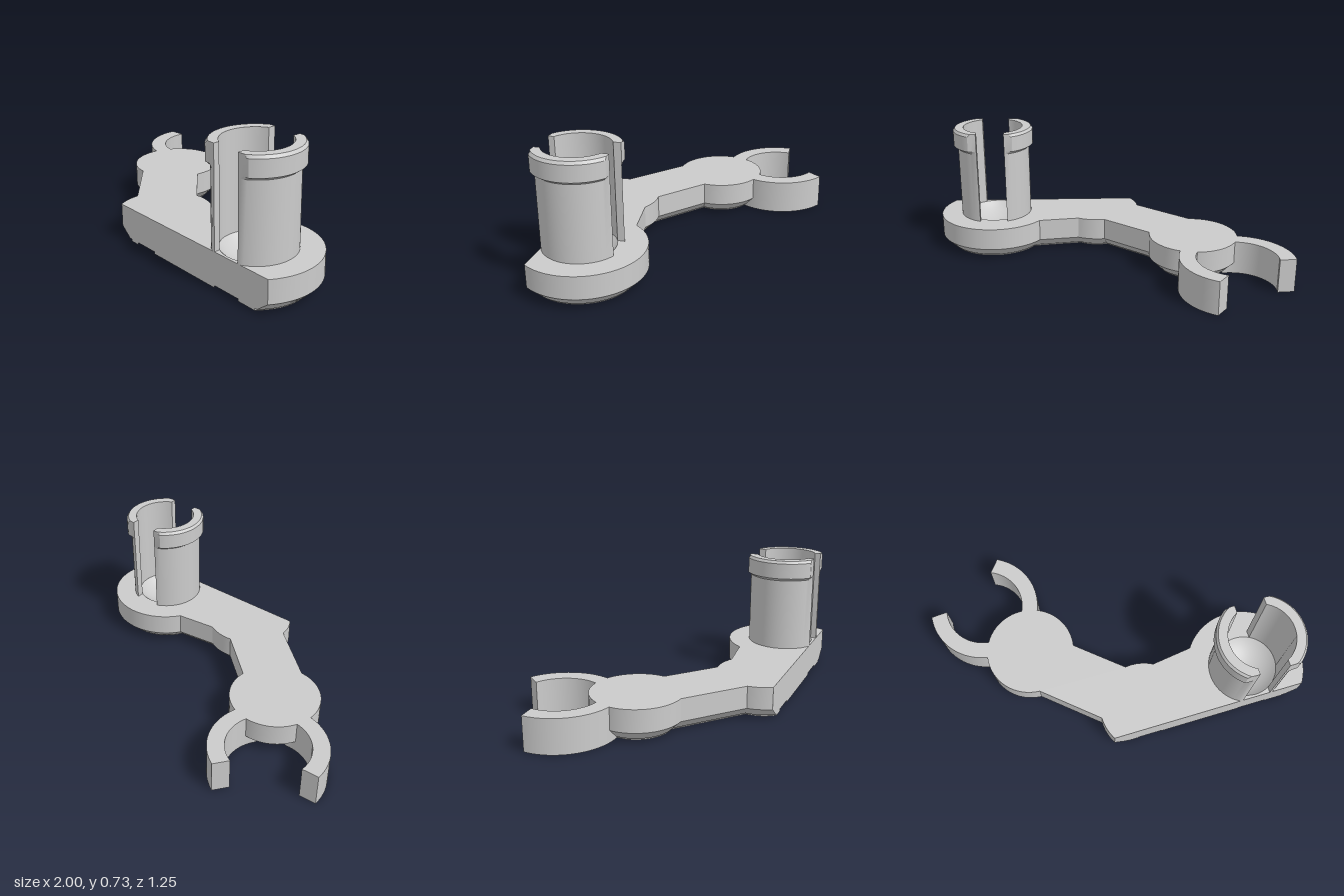
import * as THREE from 'three';
import { toCreasedNormals } from 'three/addons/utils/BufferGeometryUtils.js';

const TOP = 0.19, FRONT = 0.62, GROOVE = 0.012;
const big = { x: 0.665, z: 0.432, r: 0.333, groove: 0.205, island: 0.16 };
const mid = { x: 0.04, z: 0.49, r: 0.25, groove: 0.148, island: 0.1 };
const small = { x: -0.495, z: -0.01, r: 0.25, groove: 0.148, island: 0.1 };

// Points [x, z] along an arc
function arc(c, r, a0, a1, n = 32) {
  return Array.from({ length: n + 1 }, (_, i) => {
    const a = a0 + (a1 - a0) * i / n;
    return [c.x + r * Math.cos(a), c.z + r * Math.sin(a)];
  });
}

// Joins sections [y, points] into a wall; points run counter-clockwise seen from above
function loft(sections, { caps = true, holes = [] } = {}) {
  const pos = [];
  const put = (y, p) => pos.push(p[0], y, p[1]);
  for (let s = 0; s < sections.length - 1; s++) {
    const [y0, a] = sections[s], [y1, b] = sections[s + 1];
    for (let i = 0; i < a.length; i++) {
      const j = (i + 1) % a.length;
      put(y0, a[i]); put(y0, a[j]); put(y1, b[j]);
      put(y0, a[i]); put(y1, b[j]); put(y1, b[i]);
    }
  }
  const cap = ([y, pts], up, inner) => {
    const flat = ring => ring.map(p => new THREE.Vector2(p[0], -p[1]));
    const all = [...pts, ...inner.flat()];
    for (const f of THREE.ShapeUtils.triangulateShape(flat(pts), inner.map(flat))) {
      for (const k of up ? f : [f[0], f[2], f[1]]) put(y, all[k]);
    }
  };
  if (caps) {
    cap(sections[0], false, holes[0] || []);
    cap(sections[sections.length - 1], true, holes[1] || []);
  }
  const geo = new THREE.BufferGeometry();
  geo.setAttribute('position', new THREE.Float32BufferAttribute(pos, 3));
  return toCreasedNormals(geo, 0.5);
}

// Straight arm edges: a point on the edge and its outward direction
const edges = {
  neck: { p: [0.17, 0.27], n: -1.706 },
  armBack: { p: [0, 0.24], n: -0.872 },
  armFront: { p: [-0.505, 0.24], n: 2.274 },
};

// Angle on circle c where an edge meets it, both inset by d
function meet(c, e, d, side) {
  const h = (e.p[0] - c.x) * Math.cos(e.n) + (e.p[1] - c.z) * Math.sin(e.n) - d;
  return e.n + side * Math.acos(h / (c.r - d));
}

// Plate outline inset by d, open along the straight front
function outline(d) {
  const { neck, armBack, armFront } = edges;
  return [
    ...arc(big, big.r - d, Math.asin((FRONT - big.z) / (big.r - d)), meet(big, neck, d, -1), 48),
    ...arc(mid, mid.r - d, meet(mid, neck, d, 1), meet(mid, armBack, d, -1), 8),
    ...arc(small, small.r - d, meet(small, armBack, d, 1), meet(small, armFront, d, -1) - 2 * Math.PI, 48),
    ...arc(mid, mid.r - d, meet(mid, armFront, d, 1), Math.PI - Math.asin((FRONT - mid.z) / (mid.r - d)), 8),
  ];
}

// Part of a ring groove that opens through the front
function notch(c) {
  const a = Math.asin((FRONT - c.z) / c.groove);
  return arc(c, c.groove, Math.PI - a, 2 * Math.PI + a, 40);
}

export function createModel() {
  const group = new THREE.Group();
  const material = new THREE.MeshStandardMaterial({ color: 0xcccccc, side: THREE.DoubleSide });
  const add = (name, geo, x = 0, y = 0, z = 0) => {
    const mesh = new THREE.Mesh(geo, material);
    mesh.name = name;
    mesh.position.set(x, y, z);
    group.add(mesh);
  };

  // Plate with a chamfered underside and a round opening for the dish
  const bore = 0.175;
  const circle = (c, r) => arc(c, r, 0, 2 * Math.PI, 48).slice(0, -1);
  add('plate', loft(
    [[GROOVE, outline(0.053)], [0.065, outline(0)], [TOP, outline(0)]],
    { holes: [[], [circle(big, bore)]] },
  ));

  // Thin bottom layer, interrupted by the ring grooves
  const base = [...outline(0.065), ...notch(mid), ...notch(big)];
  const ring = circle(small, small.groove);
  add('bottomLayer', loft([[0, base], [GROOVE, base]], { holes: [[ring], [ring]] }));
  add('grooveWall', loft([[0, ring], [GROOVE, ring]], { caps: false }));
  for (const c of [big, mid, small]) {
    add('bottomDisc', new THREE.CylinderGeometry(c.island, c.island, GROOVE, 48), c.x, GROOVE / 2, c.z);
  }

  // Shallow dish between the post halves
  const depth = 0.08, sphere = (bore * bore + depth * depth) / (2 * depth);
  const dish = Array.from({ length: 13 }, (_, i) => {
    const r = bore * i / 12;
    return new THREE.Vector2(r, TOP - depth + sphere - Math.sqrt(sphere * sphere - r * r));
  });
  add('dish', new THREE.LatheGeometry(dish, 48), big.x, 0, big.z);

  // Split hollow post with a chamfered collar, trimmed flat at front and back
  const gap = 0.08;
  const half = (r, turn) => {
    const a = Math.acos(gap / r), b = Math.acos(gap / bore);
    return [
      ...arc(big, r, turn + a, turn - a).map(([x, z]) => [x, Math.min(FRONT, Math.max(0.236, z))]),
      ...arc(big, bore, turn - b, turn + b),
    ];
  };
  const profile = [[TOP, 0.211], [0.605, 0.211], [0.622, 0.235], [0.71, 0.235], [0.725, 0.224]];
  for (const [name, turn] of [['leftPostHalf', 0], ['rightPostHalf', Math.PI]]) {
    add(name, loft(profile.map(([y, r]) => [y, half(r, turn)])));
  }

  // Two curved arms of the open clip
  const clip = { x: -0.688, z: -0.348 };
  const clipArm = (o0, o1, i0, i1) => {
    const pts = [...arc(clip, 0.313, o1, o0), ...arc(clip, 0.222, i0, i1)];
    return loft([[0, pts], [TOP, pts]]);
  };
  add('leftClipArm', clipArm(-1.094, 0.69, -1.17, 0.69));
  add('rightClipArm', clipArm(1.41, 3.22, 1.41, 3.28));

  return group;
}
